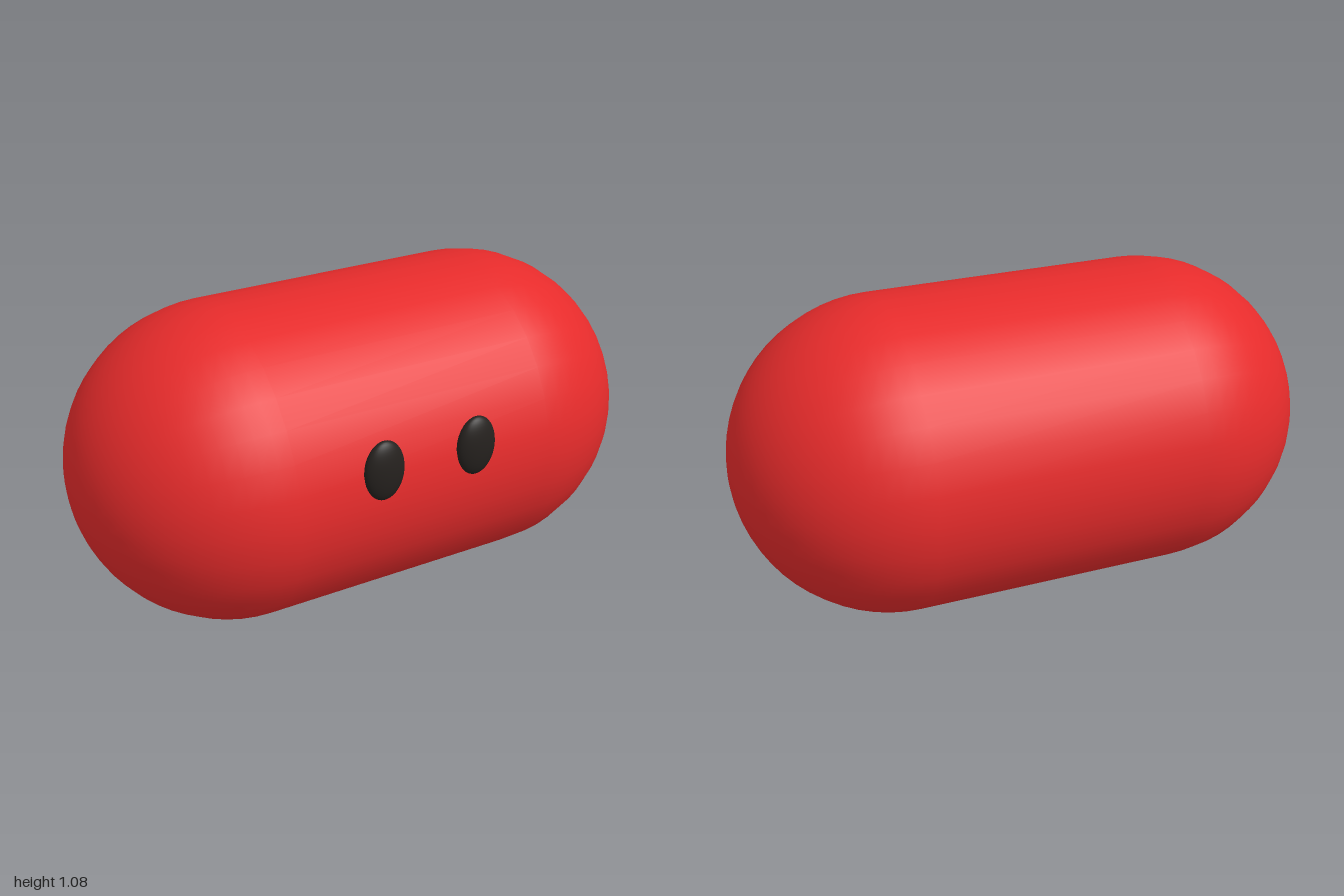
import * as THREE from 'three';

export function createModel() {
  const model = new THREE.Group();
  const red = new THREE.MeshStandardMaterial({ color: 0xe62b2b });
  const black = new THREE.MeshStandardMaterial({ color: 0x25211e });

  // Capsule body lying along x
  const radius = 0.538;
  const bodyGeometry = new THREE.CapsuleGeometry(radius, 2 - 2 * radius, 16, 32);
  bodyGeometry.rotateZ(Math.PI / 2);
  const body = new THREE.Mesh(bodyGeometry, red);
  body.name = 'body';
  body.position.set(0, radius, -0.013);
  model.add(body);

  // Flattened oval eyes, mirrored across x
  const eyeGeometry = new THREE.SphereGeometry(1, 32, 24);
  for (const side of [1, -1]) {
    const eye = new THREE.Mesh(eyeGeometry, black);
    eye.name = side > 0 ? 'leftEye' : 'rightEye';
    eye.scale.set(0.07, 0.103, 0.034);
    eye.position.set(side * 0.17, 0.663, 0.517);
    model.add(eye);
  }

  return model;
}
